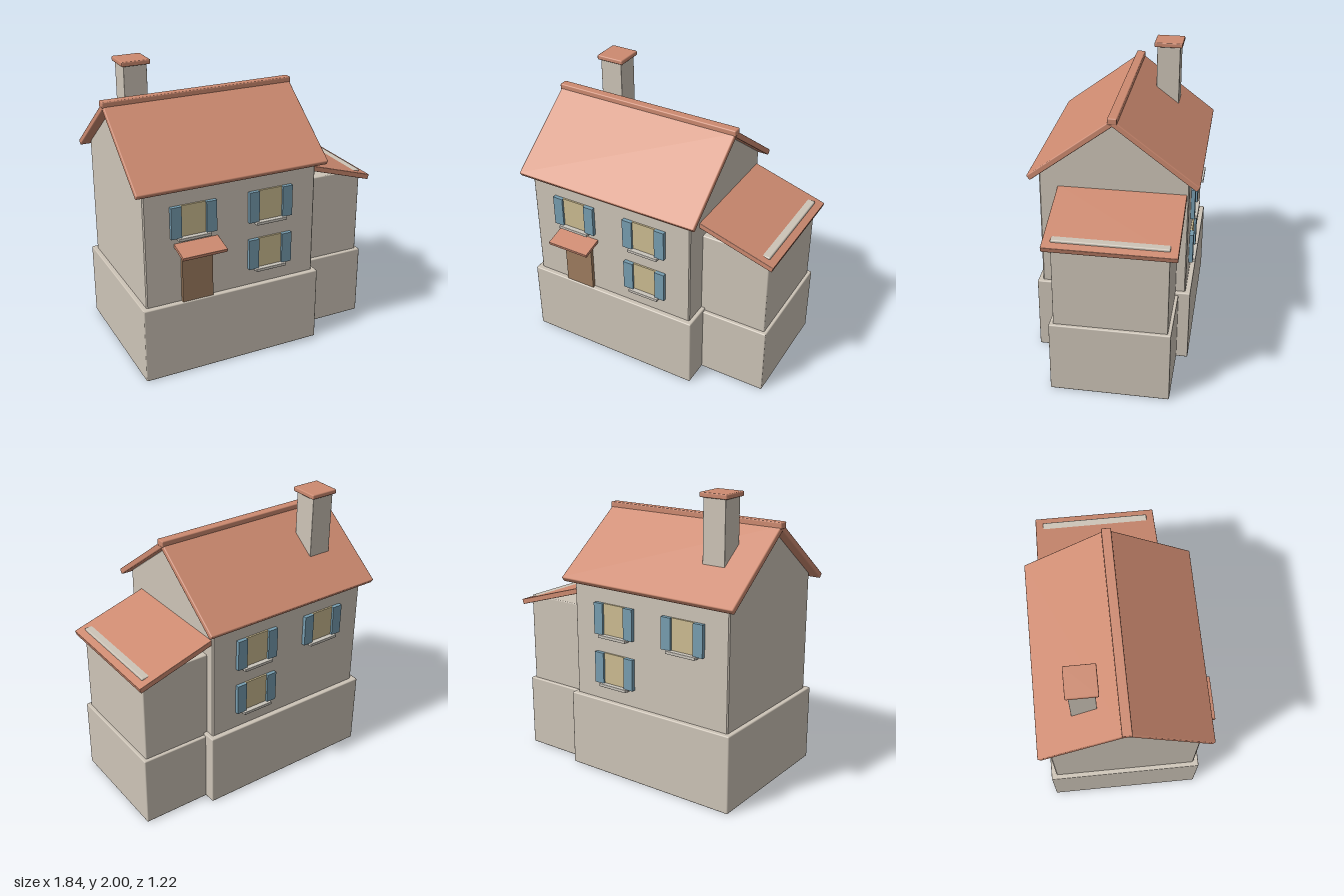
import * as THREE from 'three';
import { RoundedBoxGeometry } from 'three/addons/geometries/RoundedBoxGeometry.js';

const mat = (name, color) => {
  const m = new THREE.MeshStandardMaterial({ color });
  m.name = name;
  return m;
};

export function createModel() {
  const house = new THREE.Group();
  house.name = 'house';
  const stone = mat('stone', 0xcdc4b7);
  const tile = mat('terracotta', 0xcd8a70);
  const wood = mat('doorWood', 0x9f7d60);
  const blue = mat('shutterBlue', 0x779db0);
  const pane = mat('windowPane', 0xccbc91);
  const sillGrey = mat('sillStone', 0xcac5bc);

  const add = (name, geo, material, parent = house) => {
    const mesh = new THREE.Mesh(geo, material);
    mesh.name = name;
    parent.add(mesh);
    return mesh;
  };
  // Box given by its limits on each axis, with slightly softened edges
  const block = (name, [x0, x1], [y0, y1], [z0, z1], material, r = 0.008, parent = house) => {
    const w = x1 - x0, h = y1 - y0, d = z1 - z0;
    const geo = r ? new RoundedBoxGeometry(w, h, d, 1, r) : new THREE.BoxGeometry(w, h, d);
    const mesh = add(name, geo, material, parent);
    mesh.position.set((x0 + x1) / 2, (y0 + y1) / 2, (z0 + z1) / 2);
    return mesh;
  };
  // Sloping slab running in z between two centre-line points [z, y]
  const slopeZ = (name, [x0, x1], [za, ya], [zb, yb], t, r) => {
    const len = Math.hypot(zb - za, yb - ya);
    const mesh = add(name, new RoundedBoxGeometry(x1 - x0, t, len, 1, r), tile);
    mesh.position.set((x0 + x1) / 2, (ya + yb) / 2, (za + zb) / 2);
    mesh.rotation.x = Math.atan2(ya - yb, zb - za);
  };

  // Base storey
  block('mainBase', [-0.885, 0.415], [0, 0.535], [-0.57, 0.5], stone);
  block('annexBase', [0.39, 0.893], [0, 0.515], [-0.49, 0.315], stone);

  // Main walls with gables
  const ridgeZ = -0.035, bevel = 0.008;
  const gable = new THREE.Shape([
    [-0.535, 0.5], [0.465, 0.5], [0.465, 1.375], [ridgeZ, 1.752], [-0.535, 1.375],
  ].map(([z, y]) => new THREE.Vector2(z, y)));
  const wallGeo = new THREE.ExtrudeGeometry(gable, {
    depth: 1.24 - 2 * bevel, bevelEnabled: true, bevelSegments: 1,
    bevelSize: bevel, bevelThickness: bevel, bevelOffset: -bevel,
  });
  wallGeo.rotateY(-Math.PI / 2);
  add('mainWalls', wallGeo, stone).position.x = 0.387 - bevel;

  // Main roof and ridge
  for (const s of [1, -1]) {
    slopeZ(s > 0 ? 'frontRoof' : 'backRoof', [-0.915, 0.445],
      [ridgeZ, 1.77], [ridgeZ + s * 0.561, 1.348], 0.04, 0.008);
  }
  block('ridgeCap', [-0.922, 0.452], [1.762, 1.806], [-0.068, -0.004], tile);

  // Chimney
  block('chimney', [-0.7, -0.535], [1.4, 1.975], [-0.365, -0.2], stone, 0.004);
  block('chimneyCap', [-0.717, -0.515], [1.967, 2], [-0.382, -0.18], tile, 0.008);

  // Annex with lean-to roof
  block('annexWalls', [0.375, 0.87], [0.49, 1.145], [-0.467, 0.288], stone);
  const ax = 0.37, ay = 1.264, bx = 0.915, by = 1.096;
  const leanTo = add('annexRoof',
    new RoundedBoxGeometry(Math.hypot(bx - ax, by - ay), 0.037, 0.86, 1, 0.004), tile);
  leanTo.position.set((ax + bx) / 2, (ay + by) / 2, -0.09);
  leanTo.rotation.z = Math.atan2(by - ay, bx - ax);

  // Door and its canopy
  block('door', [-0.605, -0.387], [0.53, 0.93], [0.45, 0.49], wood, 0);
  slopeZ('doorCanopy', [-0.65, -0.338], [0.44, 0.952], [0.612, 0.911], 0.023, 0.002);

  // Windows: pane, two shutters and a sill, facing +z from the wall
  const addWindow = (name, x, y, side) => {
    const w = new THREE.Group();
    w.name = name;
    block('pane', [-0.09, 0.09], [0, 0.218], [-0.01, 0.012], pane, 0, w);
    for (const s of [-1, 1]) {
      const c = s * 0.1235;
      block('shutter', [c - 0.0365, c + 0.0365], [0, 0.218], [-0.01, 0.027], blue, 0, w);
    }
    block('sill', [-0.114, 0.114], [-0.018, 0.003], [-0.01, 0.045], sillGrey, 0.003, w);
    w.position.set(x, y, side > 0 ? 0.465 : -0.535);
    if (side < 0) w.rotation.y = Math.PI;
    house.add(w);
  };
  for (const side of [1, -1]) {
    const label = side > 0 ? 'front' : 'back';
    addWindow(label + 'UpperRightWindow', -0.515, 1.003, side);
    addWindow(label + 'UpperLeftWindow', 0.042, 1.003, side);
    addWindow(label + 'LowerLeftWindow', 0.042, 0.657, side);
  }
  return house;
}
